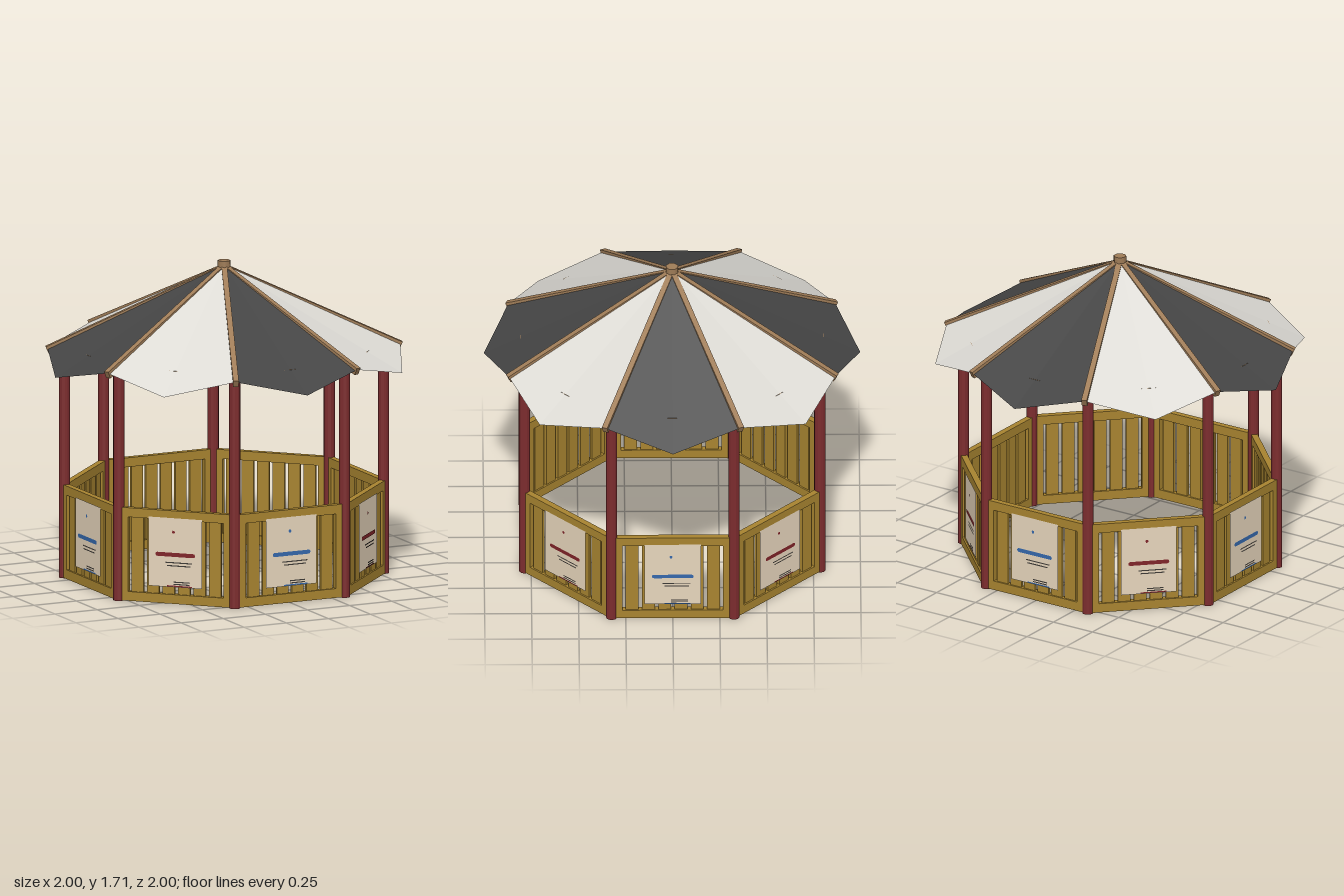
import * as THREE from 'three';

const mat = (name, color, extra = {}) => {
  const m = new THREE.MeshStandardMaterial({ color, ...extra });
  m.name = name;
  return m;
};

export function createModel() {
  const timber = mat('yellow timber', 0xa88430);
  const beamWood = mat('brown beam wood', 0xa07d58);
  const postRed = mat('dark red post', 0x7c2c2e, { flatShading: true });
  const darkCloth = mat('dark canvas', 0x454545, { side: THREE.DoubleSide, flatShading: true });
  const lightCloth = mat('light canvas', 0xdddbd5, { side: THREE.DoubleSide, flatShading: true });
  const board = mat('cream board', 0xeedcc2);
  const blue = mat('blue paint', 0x3568ac);
  const red = mat('red paint', 0x802328);
  const ink = mat('ink', 0x3a3733);

  const model = new THREE.Group();
  model.name = 'pavilion';

  const SIDES = 8, STEP = Math.PI / 4;
  const POST_R = 0.85, APOTHEM = POST_R * Math.cos(STEP / 2);
  const APEX = 1.69, CORNER_R = 0.94, CORNER_Y = 1.245, TIP_R = 1.0, TIP_Y = 1.165;

  const add = (parent, name, geo, material, x = 0, y = 0, z = 0) => {
    const mesh = new THREE.Mesh(geo, material);
    mesh.name = name;
    mesh.position.set(x, y, z);
    parent.add(mesh);
    return mesh;
  };
  const box = (parent, name, material, w, h, d, x, y, z) =>
    add(parent, name, new THREE.BoxGeometry(w, h, d), material, x, y, z);
  // One-sided painted plate facing outward
  const plate = (parent, name, material, w, h, x, y, z) =>
    add(parent, name, new THREE.PlaneGeometry(w, h), material, x, y, z);

  // Railing panel between two posts
  function makeRailing(accent) {
    const g = new THREE.Group();
    g.name = 'railing';
    const z = APOTHEM;
    box(g, 'topRail', timber, 0.61, 0.05, 0.034, 0, 0.483, z);
    box(g, 'bottomRail', timber, 0.61, 0.05, 0.034, 0, 0.028, z);
    for (const s of [-1, 1]) box(g, 'stile', timber, 0.036, 0.41, 0.034, s * 0.285, 0.255, z);
    const pitch = 0.0867;
    for (let i = 0; i < 6; i++) {
      box(g, 'slat', timber, 0.068, 0.41, 0.016, (i - 2.5) * pitch, 0.255, z);
    }

    // Notice board with painted bars
    const zs = z + 0.022;
    plate(g, 'noticeBoard', board, 0.3, 0.375, 0, 0.282, zs);
    const zp = zs + 0.003;
    const capsule = new THREE.Shape();
    capsule.absarc(0.1, 0, 0.011, -Math.PI / 2, Math.PI / 2);
    capsule.absarc(-0.1, 0, 0.011, Math.PI / 2, Math.PI * 1.5);
    add(g, 'titleBar', new THREE.ShapeGeometry(capsule, 5), accent, 0, 0.271, zp);
    add(g, 'badge', new THREE.CircleGeometry(0.009, 6), accent, -0.01, 0.394, zp);
    const lines = [[0.15, 0.228], [0.13, 0.211], [0.09, 0.123], [0.09, 0.111]];
    lines.forEach(([w, y], i) => plate(g, 'noticeLine', ink, w, 0.006, i < 2 ? 0.02 : 0.035, y, zp));
    plate(g, 'footLine', accent, 0.14, 0.006, 0.025, 0.101, zp);
    return g;
  }

  // One canvas gore, dipping slightly along its middle to a low point
  function makeGore() {
    const a = STEP / 2;
    const cx = CORNER_R * Math.sin(a), cz = CORNER_R * Math.cos(a);
    const geo = new THREE.BufferGeometry();
    geo.setAttribute('position', new THREE.Float32BufferAttribute([
      0, APEX, 0, -cx, CORNER_Y, cz, 0, TIP_Y, TIP_R,
      0, APEX, 0, 0, TIP_Y, TIP_R, cx, CORNER_Y, cz,
    ], 3));
    geo.computeVertexNormals();
    return geo;
  }
  const goreGeo = makeGore();

  const slope = Math.atan2(APEX - CORNER_Y, CORNER_R);
  const ribLen = Math.hypot(APEX - CORNER_Y, CORNER_R);

  for (let k = 0; k < SIDES; k++) {
    // Bay: railing, tie beam and canvas
    const bay = new THREE.Group();
    bay.name = 'bay';
    bay.rotation.y = k * STEP;
    bay.add(makeRailing(k % 2 ? red : blue));
    box(bay, 'tieBeam', beamWood, 0.64, 0.033, 0.036, 0, 1.252, APOTHEM + 0.002);
    add(bay, 'roofGore', goreGeo, k % 2 ? lightCloth : darkCloth);
    model.add(bay);

    // Corner: post and sloping rib under the canvas seam
    const corner = new THREE.Group();
    corner.name = 'corner';
    corner.rotation.y = (k + 0.5) * STEP;
    add(corner, 'post', new THREE.CylinderGeometry(0.03, 0.03, 1.26, 12), postRed, 0, 0.63, POST_R);
    const rib = box(corner, 'rib', beamWood, 0.03, 0.04, ribLen, 0,
      (APEX + CORNER_Y) / 2 - 0.014, CORNER_R / 2);
    rib.rotation.x = slope - 0.012;
    model.add(corner);
  }

  // Finial block at the peak
  add(model, 'peakCap', new THREE.CylinderGeometry(0.034, 0.034, 0.05, 8), beamWood, 0, 1.685, 0)
    .rotation.y = STEP / 2;

  return model;
}
